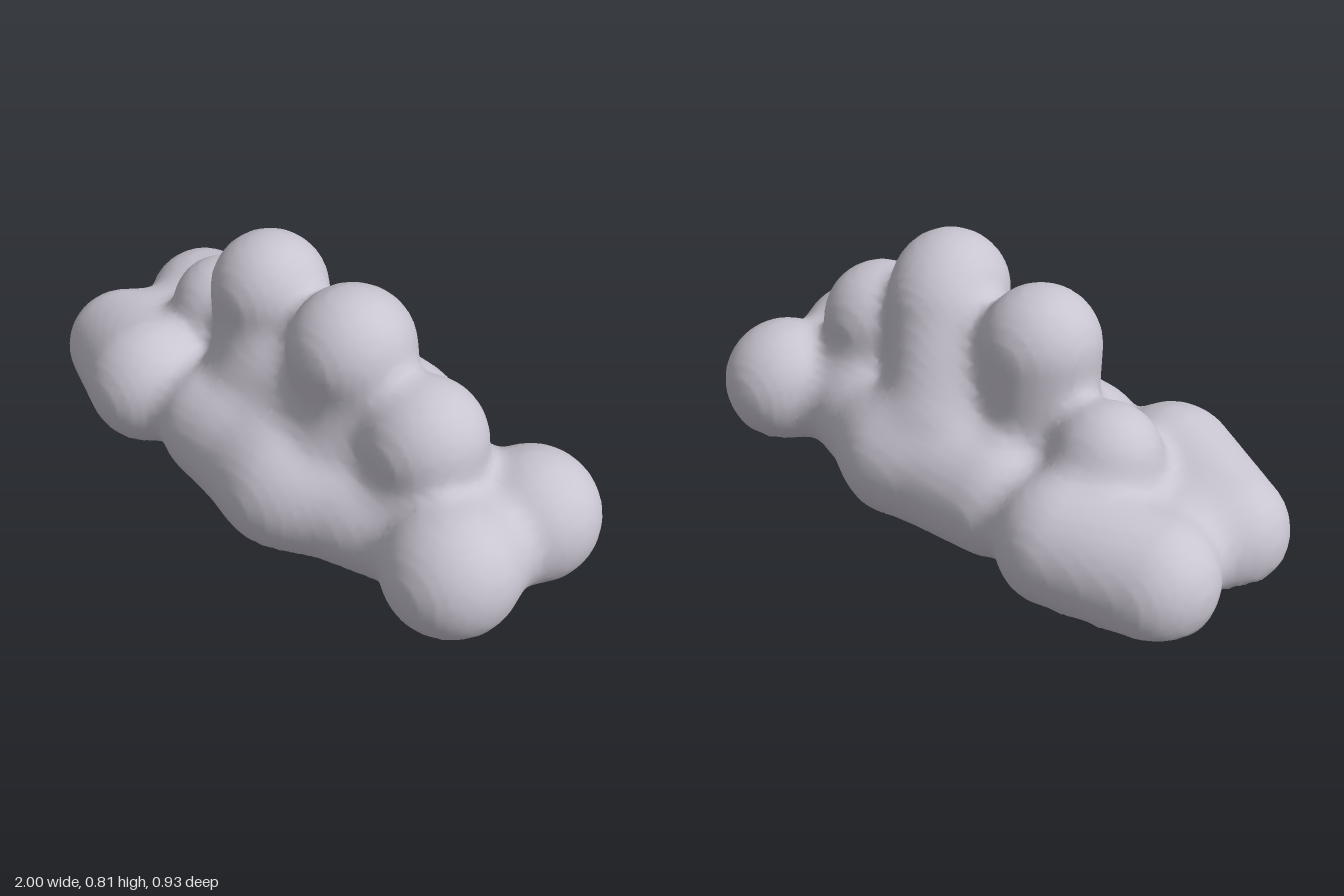
import * as THREE from 'three';

const V = (x, y, z) => new THREE.Vector3(x, y, z);

// Each puff is a tapered capsule: start, start radius, end, end radius
const puff = (a, ra, b = a, rb = ra) => ({ a: V(...a), b: V(...b), ra, rb });
const puffs = [
  // long low core
  puff([-0.72, 0.12, 0], 0.17, [0.74, 0.13, 0], 0.175),
  // left end, back and front
  puff([-0.803, 0.13, -0.2], 0.197, [-0.51, 0.15, -0.255], 0.212),
  puff([-0.803, 0.11, 0.16], 0.197, [-0.53, 0.16, 0.25], 0.215),
  // middle belly, back and front
  puff([-0.2, 0.145, -0.205], 0.205, [0.18, 0.145, -0.225], 0.205),
  puff([-0.2, 0.145, 0.205], 0.205, [0.16, 0.145, 0.235], 0.21),
  puff([0.15, 0.145, 0.225], 0.205, [0.5, 0.14, 0.125], 0.185),
  puff([0.18, 0.145, -0.225], 0.195, [0.5, 0.14, -0.125], 0.185),
  // right end, back and front
  puff([0.785, 0.163, -0.203], 0.214),
  puff([0.785, 0.163, 0.147], 0.214),
  // upper heads with their columns
  puff([-0.5, 0.345, -0.05], 0.17, [-0.48, 0.2, -0.05], 0.18),
  puff([-0.19, 0.592, 0], 0.19, [-0.18, 0.3, 0], 0.19),
  puff([0.24, 0.617, 0.055], 0.193, [0.22, 0.3, 0.02], 0.185),
  puff([0.525, 0.415, 0.015], 0.197, [0.52, 0.25, 0], 0.19),
  // saddle between the two tall heads
  puff([0.02, 0.54, -0.01], 0.1, [0.03, 0.3, -0.1], 0.17),
  // slopes running from the heads into the belly, back and front
  puff([0.2, 0.57, -0.03], 0.16, [0.1, 0.3, -0.13], 0.185),
  puff([-0.12, 0.33, 0.05], 0.185, [0.26, 0.33, 0.06], 0.185),
];

const BLEND = 0.08;
const ab = V(0, 0, 0);
const ap = V(0, 0, 0);

// Distance to the smoothly blended cloud, cut by a very shallow bowl underneath
function cloud(p) {
  let d = 10;
  for (const { a, b, ra, rb } of puffs) {
    ab.subVectors(b, a);
    ap.subVectors(p, a);
    const t = THREE.MathUtils.clamp(ap.dot(ab) / (ab.lengthSq() || 1), 0, 1);
    const e = ap.addScaledVector(ab, -t).length() - (ra + (rb - ra) * t);
    const h = Math.max(BLEND - Math.abs(d - e), 0) / BLEND;
    d = Math.min(d, e) - h * h * BLEND / 4;
  }
  const floor = 0.02 * p.x * p.x + 0.06 * p.z * p.z;
  return Math.max(d, floor - p.y);
}

// Skin the distance function: one vertex per crossed cell, one quad per crossed edge
function skin(field, min, size, step) {
  const n = size.map((s) => Math.ceil(s / step));
  const id = (i, j, k) => i + n[0] * (j + n[1] * k);
  const at = (i, j, k) => V(min[0] + i * step, min[1] + j * step, min[2] + k * step);
  const value = new Float32Array(n[0] * n[1] * n[2]);
  const vertex = new Int32Array(value.length).fill(-1);
  const each = (from, to, fn) => {
    for (let k = from; k < n[2] - to; k++) {
      for (let j = from; j < n[1] - to; j++) {
        for (let i = from; i < n[0] - to; i++) fn(i, j, k);
      }
    }
  };
  each(0, 0, (i, j, k) => {
    value[id(i, j, k)] = field(at(i, j, k));
  });

  const positions = [];
  const index = [];
  const offset = [1, n[0], n[0] * n[1]];
  each(0, 1, (i, j, k) => {
    const sum = V(0, 0, 0);
    let count = 0;
    for (let c = 0; c < 8; c++) {
      const corner = [c & 1, (c >> 1) & 1, c >> 2];
      const start = id(i + corner[0], j + corner[1], k + corner[2]);
      for (let axis = 0; axis < 3; axis++) {
        if (corner[axis]) continue;
        const va = value[start];
        const vb = value[start + offset[axis]];
        if ((va < 0) === (vb < 0)) continue;
        const point = [...corner];
        point[axis] = va / (va - vb);
        sum.add(V(...point));
        count++;
      }
    }
    if (count === 0) return;
    sum.divideScalar(count);
    vertex[id(i, j, k)] = positions.length / 3;
    const p = at(i + sum.x, j + sum.y, k + sum.z);
    positions.push(p.x, p.y, p.z);
  });
  each(1, 1, (i, j, k) => {
    const c = id(i, j, k);
    for (let axis = 0; axis < 3; axis++) {
      const inside = value[c] < 0;
      if (inside === (value[c + offset[axis]] < 0)) continue;
      const u = offset[(axis + 1) % 3];
      const v = offset[(axis + 2) % 3];
      const q = [c - u - v, c - v, c, c - u].map((m) => vertex[m]);
      if (!inside) q.reverse();
      index.push(q[0], q[1], q[2], q[0], q[2], q[3]);
    }
  });

  const geometry = new THREE.BufferGeometry();
  geometry.setAttribute('position', new THREE.Float32BufferAttribute(positions, 3));
  geometry.setIndex(index);
  geometry.computeVertexNormals();
  return geometry;
}

export function createModel() {
  const group = new THREE.Group();
  group.name = 'cloud';
  const paleGrey = new THREE.MeshStandardMaterial({ color: 0xc8c4d0 });
  paleGrey.name = 'paleGrey';

  const geometry = skin(cloud, [-1.12, -0.08, -0.6], [2.24, 1.04, 1.2], 0.025);
  const body = new THREE.Mesh(geometry, paleGrey);
  body.name = 'cloudBody';
  group.add(body);
  return group;
}
